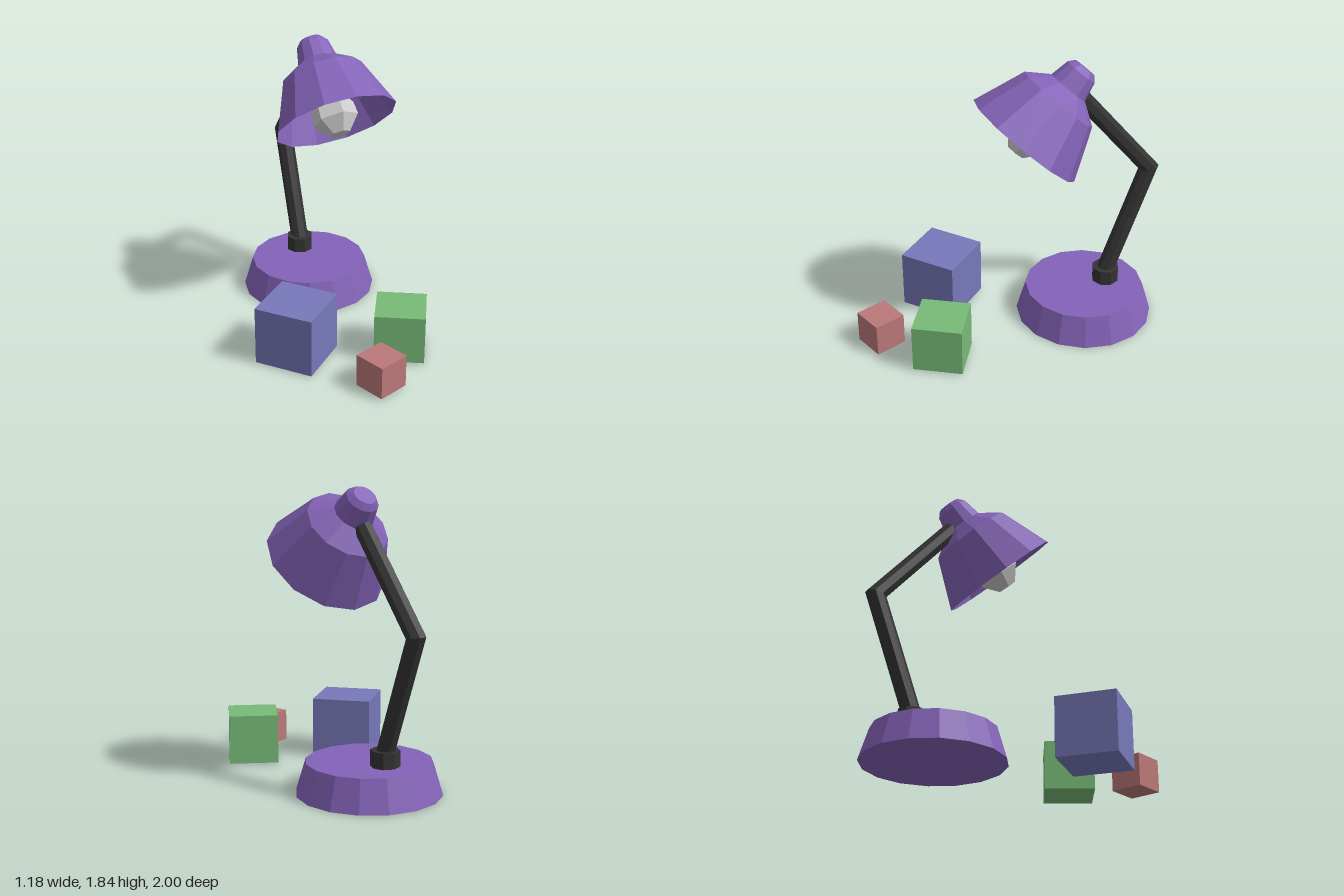
import * as THREE from 'three';

const mat = (color) => new THREE.MeshStandardMaterial({ color, flatShading: true, side: THREE.DoubleSide });
const purple = mat(0x8463b8), black = mat(0x343434), grey = mat(0xcccccc);

function add(parent, name, geometry, material, x = 0, y = 0, z = 0) {
  const mesh = new THREE.Mesh(geometry, material);
  mesh.name = name;
  mesh.position.set(x, y, z);
  parent.add(mesh);
  return mesh;
}

const lathe = (profile, sides) =>
  new THREE.LatheGeometry(profile.map(([r, y]) => new THREE.Vector2(r, y)), sides);

// Eight-sided rod from a to b, whose end at the elbow is cut along the mitre plane
function mitredRod(a, b, elbow, normal) {
  const dir = b.clone().sub(a);
  const length = dir.length();
  dir.normalize();
  const geometry = new THREE.CylinderGeometry(0.0585, 0.0585, length, 8);
  geometry.rotateY(Math.PI / 8);
  geometry.rotateX(Math.atan2(dir.z, dir.y));
  geometry.translate((a.x + b.x) / 2, (a.y + b.y) / 2, (a.z + b.z) / 2);
  const pos = geometry.attributes.position;
  const p = new THREE.Vector3();
  for (let i = 0; i < pos.count; i++) {
    p.fromBufferAttribute(pos, i);
    if (p.distanceTo(elbow) > 0.1) continue;
    p.addScaledVector(dir, normal.dot(elbow.clone().sub(p)) / normal.dot(dir));
    pos.setXYZ(i, p.x, p.y, p.z);
  }
  geometry.computeVertexNormals();
  return geometry;
}

export function createModel() {
  const model = new THREE.Group();
  model.name = 'deskLampWithBlocks';

  const lamp = new THREE.Group();
  lamp.name = 'lamp';
  lamp.position.x = 0.137;
  model.add(lamp);

  // Foot and collar
  add(lamp, 'base', new THREE.CylinderGeometry(0.39, 0.45, 0.2, 16), purple, 0, 0.1, -0.515);
  add(lamp, 'collar', new THREE.CylinderGeometry(0.09, 0.09, 0.1, 8), black, 0, 0.25, -0.67);

  // Bent arm
  const foot = new THREE.Vector3(0, 0.2, -0.64);
  const elbow = new THREE.Vector3(0, 1.01, -0.943);
  const tip = new THREE.Vector3(0, 1.6, -0.445);
  const normal = elbow.clone().sub(foot).normalize().add(tip.clone().sub(elbow).normalize()).normalize();
  add(lamp, 'lowerArm', mitredRod(foot, elbow, elbow, normal), black);
  add(lamp, 'upperArm', mitredRod(elbow, tip, elbow, normal), black);

  // Tilted head; its origin is the centre of the shade's open rim
  const head = new THREE.Group();
  head.name = 'head';
  head.position.set(0, 1.368, -0.073);
  head.rotation.x = -0.744;
  lamp.add(head);
  add(head, 'shade', lathe([[0.396, 0], [0.265, 0.328], [0.13, 0.42], [0.105, 0.54], [0.073, 0.576], [0, 0.576]], 12), purple);
  add(head, 'bulb', lathe([[0, -0.085], [0.065, -0.085], [0.147, 0.01], [0.14, 0.09], [0.07, 0.2], [0, 0.2]], 6), grey);

  // Toy blocks: name, colour, size, x, z, turn in degrees
  for (const [name, color, size, x, z, turn] of [
    ['largeBlock', 0x7878bb, 0.385, -0.322, 0.33, 40.8],
    ['mediumBlock', 0x78bb78, 0.318, 0.302, 0.543, -30.2],
    ['smallBlock', 0xbb7878, 0.212, 0.005, 0.86, 19.3],
  ]) {
    const block = add(model, name, new THREE.BoxGeometry(size, size, size), mat(color), x, size / 2 + 0.008, z);
    block.rotation.y = THREE.MathUtils.degToRad(turn);
  }
  return model;
}
